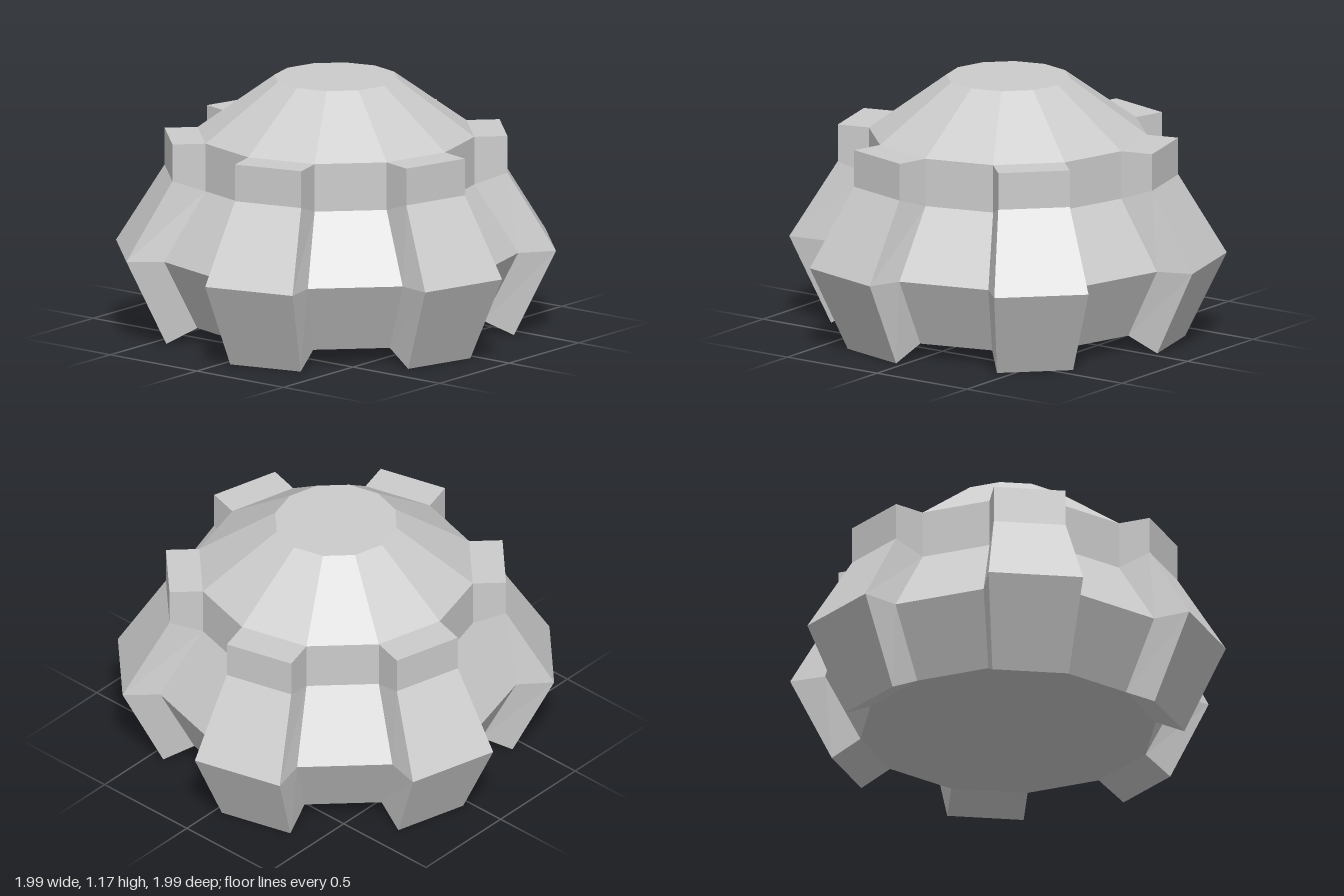
import * as THREE from 'three';

const SIDES = 12;
const STEP = (Math.PI * 2) / SIDES;

// Body profile from the base up: [radius, height]
const PROFILE = [[0.67, 0.07], [0.83, 0.39], [0.63, 0.7], [0.63, 0.92]];
// Outer skin of a rib at the same levels: [outward offset, height]
const RIB = [[0.14, 0], [0.171, 0.395], [0.15, 0.75], [0.15, 0.92]];

// One raised panel over the body side between angles 0 and STEP
function ribGeometry() {
  const positions = [];
  const quad = (a, b, c, d) => {
    for (const p of [a, b, c, a, c, d]) positions.push(p.x, p.y, p.z);
  };
  const levels = PROFILE.map(([r, y], i) => {
    const [offset, outerY] = RIB[i];
    const shift = new THREE.Vector3(Math.sin(STEP / 2), 0, Math.cos(STEP / 2)).multiplyScalar(offset);
    const [inA, inB] = [0, STEP].map(t => new THREE.Vector3(r * Math.sin(t), y, r * Math.cos(t)));
    const [outA, outB] = [inA, inB].map(p => p.clone().add(shift).setY(outerY));
    return { inA, inB, outA, outB };
  });
  for (let i = 0; i < levels.length - 1; i++) {
    const lo = levels[i], hi = levels[i + 1];
    quad(lo.outA, lo.outB, hi.outB, hi.outA); // outer face
    quad(lo.inA, lo.outA, hi.outA, hi.inA);   // one flank
    quad(lo.outB, lo.inB, hi.inB, hi.outB);   // other flank
  }
  const bottom = levels[0], top = levels[levels.length - 1];
  quad(bottom.inA, bottom.inB, bottom.outB, bottom.outA);
  quad(top.outA, top.outB, top.inB, top.inA);

  const geometry = new THREE.BufferGeometry();
  geometry.setAttribute('position', new THREE.Float32BufferAttribute(positions, 3));
  geometry.computeVertexNormals();
  return geometry;
}

export function createModel() {
  const model = new THREE.Group();
  const material = new THREE.MeshStandardMaterial({ color: 0xcccccc, flatShading: true });

  // Twelve-sided body with a sloping roof, closed at both ends
  const points = [[0, 0.07], ...PROFILE, [0.28, 1.175], [0, 1.175]].map(([x, y]) => new THREE.Vector2(x, y));
  const body = new THREE.Mesh(new THREE.LatheGeometry(points, SIDES), material);
  body.name = 'body';
  model.add(body);

  // Ribs on every second side
  const ribs = new THREE.Group();
  ribs.name = 'ribs';
  const geometry = ribGeometry();
  for (let i = 0; i < SIDES; i += 2) {
    const rib = new THREE.Mesh(geometry, material);
    rib.name = 'rib';
    rib.rotation.y = i * STEP;
    ribs.add(rib);
  }
  model.add(ribs);
  return model;
}
